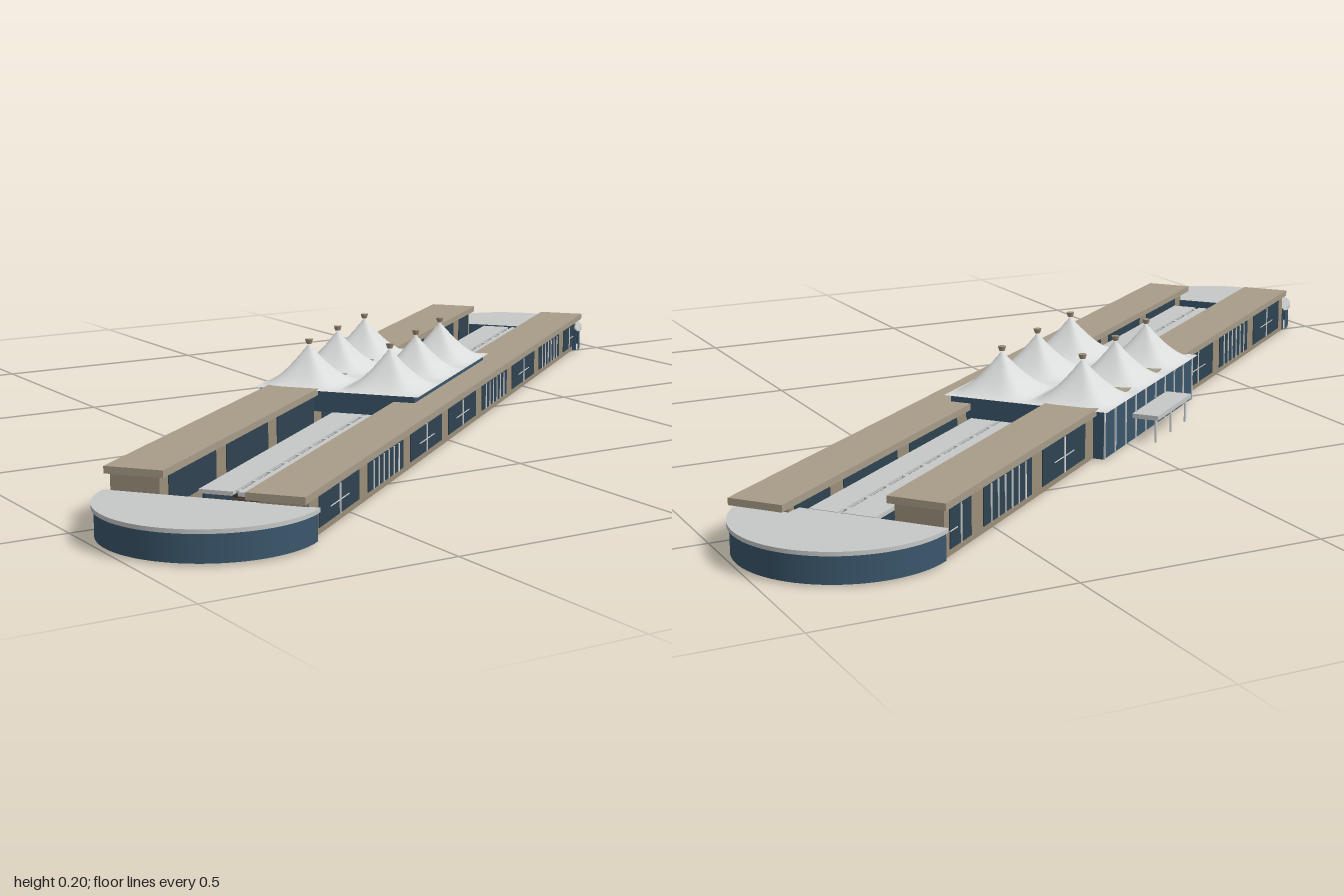
import * as THREE from 'three';

const mat = (name, color, double) => {
  const m = new THREE.MeshStandardMaterial({ color });
  m.name = name;
  if (double) m.side = THREE.DoubleSide;
  return m;
};

export function createModel() {
  const tan = mat('tan roof', 0xa89c88);
  const wallTan = mat('tan wall', 0x9c8f7a);
  const grey = mat('grey roof', 0xc6c8c7, true);
  const fabric = mat('tent fabric', 0xdadcdb, true);
  const glass = mat('dark glass', 0x2f4352);
  const blue = mat('blue wall', 0x3a566b, true);
  const dark = mat('dark paving', 0x3f3630);
  const white = mat('white trim', 0xd6d8d8);

  const root = new THREE.Group();
  const hall = new THREE.Group();
  hall.name = 'building';
  hall.rotation.y = 0.681; // whole building lies diagonally
  root.add(hall);

  const add = (name, geo, material, parent = hall) => {
    const m = new THREE.Mesh(geo, material);
    m.name = name;
    parent.add(m);
    return m;
  };
  // box given by its limits
  const box = (name, x0, x1, y0, y1, z0, z1, material, parent = hall) => {
    const g = new THREE.BoxGeometry(x1 - x0, y1 - y0, z1 - z0);
    g.translate((x0 + x1) / 2, (y0 + y1) / 2, (z0 + z1) / 2);
    return add(name, g, material, parent);
  };

  // hollow wing: four thin walls, a roof slab, rows of windows on both long sides
  function wing(name, x0, x1, zIn, zOut, top, roofX0, roofX1, roofIn, roofOut) {
    const g = new THREE.Group();
    g.name = name;
    hall.add(g);
    const s = Math.sign(zOut), t = 0.006;
    const long = (n, z, d) => box(n, x0, x1, 0.003, top - 0.014, Math.min(z, z - d), Math.max(z, z - d), wallTan, g);
    long('outerWall', zOut, s * t);
    long('innerWall', zIn, -s * t);
    for (const x of [x0, x1 - t]) {
      box('endWall', x, x + t, 0.003, top - 0.014, Math.min(zIn, zOut), Math.max(zIn, zOut), wallTan, g);
    }
    box('roof', roofX0, roofX1, top - 0.014, top, Math.min(roofIn, roofOut), Math.max(roofIn, roofOut), tan, g);

    const y0 = 0.016, y1 = top - 0.019;
    for (let k = -3; k <= 4; k++) {
      const c = -0.061 + k * 0.268;
      const a = Math.max(c - 0.108, x0 + 0.02), b = Math.min(c + 0.108, x1 - 0.02);
      if (b - a < 0.04) continue;
      box('window', a, b, y0, y1, zOut - 0.002, zOut + 0.002, glass, g);
      box('innerWindow', a, b, 0.03, y1, zIn - 0.002, zIn + 0.002, glass, g);
      // barred bays alternate with simple cross mullions
      const barred = k === -2 || k === 1 || k === 3;
      const n = barred ? 6 : 1;
      for (let i = 1; i <= n; i++) {
        const x = a + (b - a) * i / (n + 1);
        box('mullion', x - 0.0018, x + 0.0018, y0, y1, zOut - 0.004, zOut + 0.004, white, g);
      }
      if (!barred) {
        const y = y0 + (y1 - y0) * 0.45;
        box('transom', c - 0.05, Math.min(c + 0.05, b), y - 0.001, y + 0.001, zOut - 0.003, zOut + 0.003, white, g);
      }
    }
  }
  wing('frontWing', -1.02, 1.05, 0.095, 0.19, 0.092, -1.055, 1.09, 0.084, 0.197);
  wing('backWing', -1.01, 1.01, -0.1, -0.198, 0.11, -1.02, 1.017, -0.088, -0.206);

  // rounded ends with flat roofs
  for (const s of [1, -1]) {
    const end = new THREE.Group();
    end.name = 'roundedEnd';
    end.position.x = s * 1.016;
    if (s < 0) end.rotation.y = Math.PI;
    hall.add(end);
    const wall = add('curvedWall', new THREE.CylinderGeometry(0.205, 0.205, 0.053, 40, 1, true, 0, Math.PI), blue, end);
    wall.position.y = 0.0305;
    const roof = add('endRoof', new THREE.CylinderGeometry(0.21, 0.21, 0.008, 40, 1, false, 0, Math.PI), grey, end);
    roof.position.y = 0.061;
    const ceiling = add('endCeiling', new THREE.CylinderGeometry(0.203, 0.203, 0.002, 40, 1, false, 0, Math.PI), tan, end);
    ceiling.position.y = 0.055;
    box('chordWall', -0.003, 0.003, 0.004, 0.06, -0.2, 0.2, blue, end);
  }

  // courtyard paving and the low twin roofs over the arcade
  box('courtyardFloor', -1.06, 1.06, 0, 0.006, -0.095, 0.095, dark);
  box('arcadeRoof', -0.94, 1.0, 0.052, 0.06, -0.055, 0.013, grey);
  box('arcadeRoof', -0.94, 1.0, 0.052, 0.06, 0.023, 0.083, grey);
  box('arcadeGutter', -0.94, 1.0, 0.05, 0.054, 0.012, 0.024, dark);
  for (let i = 0; i < 26; i++) {
    const x = -0.92 + i * 0.0756;
    box('arcadeTie', x - 0.006, x + 0.006, 0.054, 0.059, 0.012, 0.024, grey);
  }
  for (const z of [-0.05, 0.078]) box('arcadeGlass', -0.93, 0.99, 0.006, 0.052, z - 0.002, z + 0.002, glass);

  // glazed central hall under the tents
  box('entranceGlass', -0.222, 0.32, 0.003, 0.106, -0.222, -0.212, blue);
  box('hallFront', -0.222, 0.32, 0.06, 0.106, 0.125, 0.131, blue);
  for (const x of [-0.222, 0.314]) {
    box('hallSide', x, x + 0.006, 0.06, 0.106, -0.212, 0.125, blue);
    box('entranceSide', x, x + 0.006, 0.003, 0.106, -0.222, -0.195, blue);
  }
  for (let i = 0; i <= 9; i++) {
    const x = -0.22 + i * 0.0598;
    box('entranceMullion', x - 0.0015, x + 0.0015, 0.003, 0.104, -0.225, -0.221, white);
  }

  // entrance canopy on posts
  box('canopy', -0.052, 0.157, 0.052, 0.062, -0.281, -0.215, grey);
  for (const x of [-0.04, 0.0525, 0.145]) {
    const post = add('canopyPost', new THREE.CylinderGeometry(0.003, 0.003, 0.052, 8), white);
    post.position.set(x, 0.026, -0.272);
  }

  // six peaked tents
  const size = 0.1877;
  const tent = new THREE.PlaneGeometry(size, size, 28, 28);
  tent.rotateX(-Math.PI / 2);
  const p = tent.attributes.position;
  for (let i = 0; i < p.count; i++) {
    const a = Math.abs(p.getX(i)) / (size / 2), b = Math.abs(p.getZ(i)) / (size / 2);
    const d = Math.min(1, Math.pow(a ** 4 + b ** 4, 0.25));
    p.setY(i, 0.107 + 0.088 * Math.pow(1 - d, 1.55));
  }
  tent.computeVertexNormals();
  for (let i = 0; i < 3; i++) {
    for (let j = 0; j < 2; j++) {
      const x = -0.233 + (i + 0.5) * size, z = -0.233 + (j + 0.5) * size;
      add('tentRoof', tent, fabric).position.set(x, 0, z);
      const cap = add('tentCap', new THREE.CylinderGeometry(0.009, 0.006, 0.01, 12), wallTan);
      cap.position.set(x, 0.198, z);
    }
  }
  return root;
}
